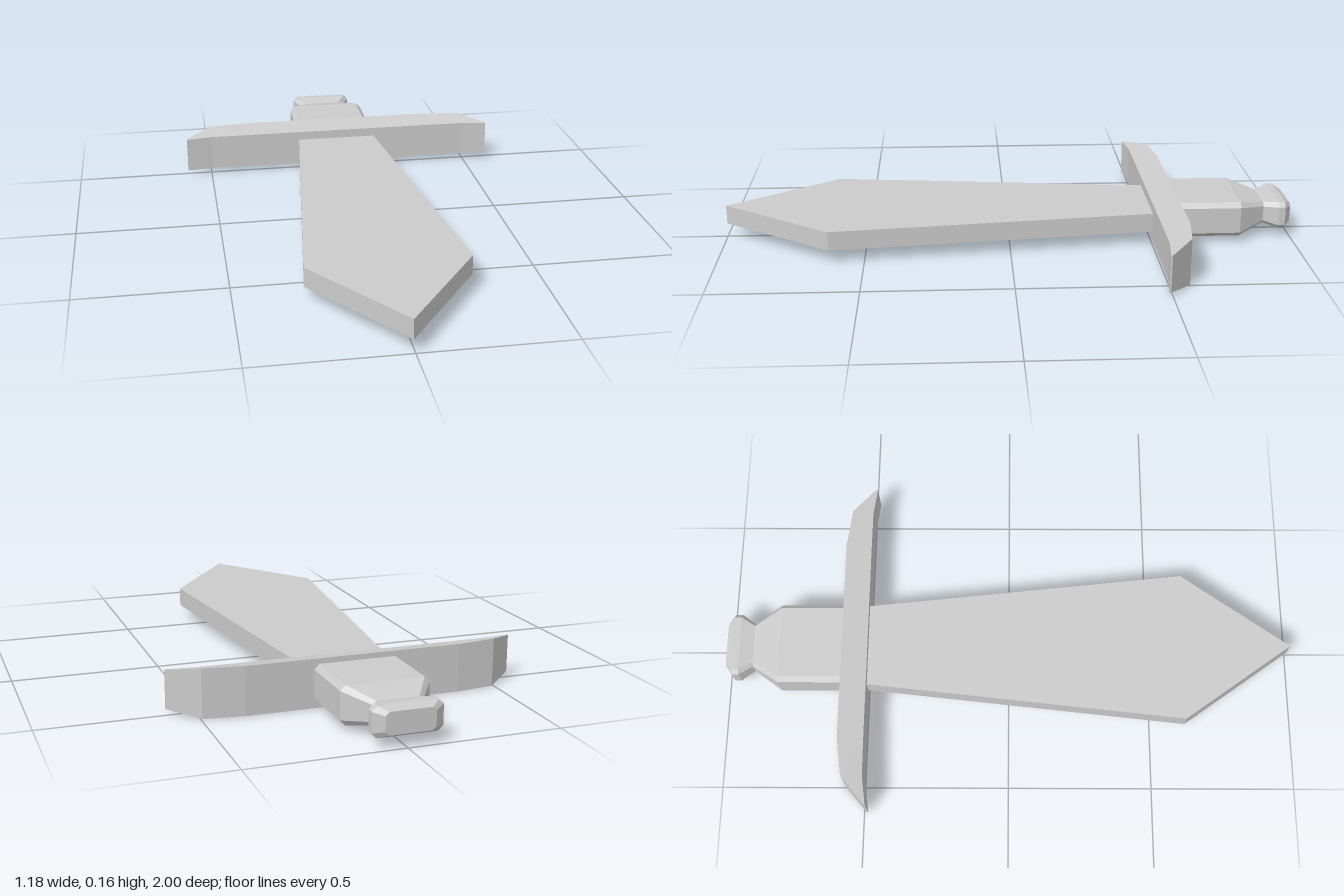
import * as THREE from 'three';

const MID = 0.081; // height of the sword's centre plane

// Skin a list of equal-length rings, capped at both ends.
// Rings run counter-clockwise about the direction of travel.
function loft(rings) {
  const n = rings[0].length, idx = [];
  for (let i = 0; i < rings.length - 1; i++) {
    for (let j = 0; j < n; j++) {
      const a = i * n + j, b = i * n + (j + 1) % n;
      idx.push(a, b, b + n, a, b + n, a + n);
    }
  }
  const last = (rings.length - 1) * n;
  for (let j = 1; j < n - 1; j++) {
    idx.push(0, j + 1, j, last, last + j, last + j + 1);
  }
  const indexed = new THREE.BufferGeometry();
  indexed.setAttribute('position', new THREE.Float32BufferAttribute(rings.flat(2), 3));
  indexed.setIndex(idx);
  const geo = indexed.toNonIndexed();
  geo.computeVertexNormals();
  return geo;
}

// Chamfered rectangle across the hilt at depth z
function hiltRing(z, w, h, c) {
  const corners = [
    [w, -h + c], [w, h - c], [w - c, h], [-w + c, h],
    [-w, h - c], [-w, -h + c], [-w + c, -h], [w - c, -h],
  ];
  return corners.map(([x, y]) => [x - 0.008, MID + y, z]);
}

// Tapered rectangle across the guard at position x
function guardRing(x, zFront, zBack, hFront, hBack) {
  return [
    [x, MID + hFront, zFront], [x, MID - hFront, zFront],
    [x, MID - hBack, zBack], [x, MID + hBack, zBack],
  ];
}

export function createModel() {
  const sword = new THREE.Group();
  sword.name = 'sword';
  const material = new THREE.MeshStandardMaterial({ color: 0xcccccc, flatShading: true });
  const add = (name, geometry) => {
    const mesh = new THREE.Mesh(geometry, material);
    mesh.name = name;
    sword.add(mesh);
  };

  // Flat blade, widening towards a pointed tip
  const outline = [[-0.155, -0.5], [-0.277, 0.62], [-0.007, 1], [0.262, 0.62], [0.14, -0.5]];
  const shape = new THREE.Shape(outline.map(([x, z]) => new THREE.Vector2(x, -z)));
  const blade = new THREE.ExtrudeGeometry(shape, { depth: 0.067, bevelEnabled: false });
  blade.rotateX(-Math.PI / 2).translate(0, 0.046, 0);
  add('blade', blade);

  // Crossguard, its ends swept forward and its back edge taller
  const half = [
    [0.36, -0.499, -0.588, 0.064, 0.081],
    [0.495, -0.498, -0.57, 0.064, 0.081],
    [0.59, -0.485, -0.492, 0.063, 0.064],
  ];
  const stations = [
    ...half.map(([x, ...rest]) => [-x, ...rest]).reverse(),
    ...half,
  ];
  add('crossguard', loft(stations.map((s) => guardRing(...s))));

  // Grip, narrowing to the neck
  add('grip', loft([
    hiltRing(-0.905, 0.08, 0.038, 0.012),
    hiltRing(-0.81, 0.145, 0.063, 0.017),
    hiltRing(-0.58, 0.145, 0.063, 0.017),
  ]));

  // Pommel
  add('pommel', loft([
    hiltRing(-1, 0.08, 0.036, 0.012),
    hiltRing(-0.976, 0.113, 0.049, 0.016),
    hiltRing(-0.953, 0.113, 0.049, 0.016),
    hiltRing(-0.905, 0.08, 0.038, 0.012),
  ]));

  return sword;
}
